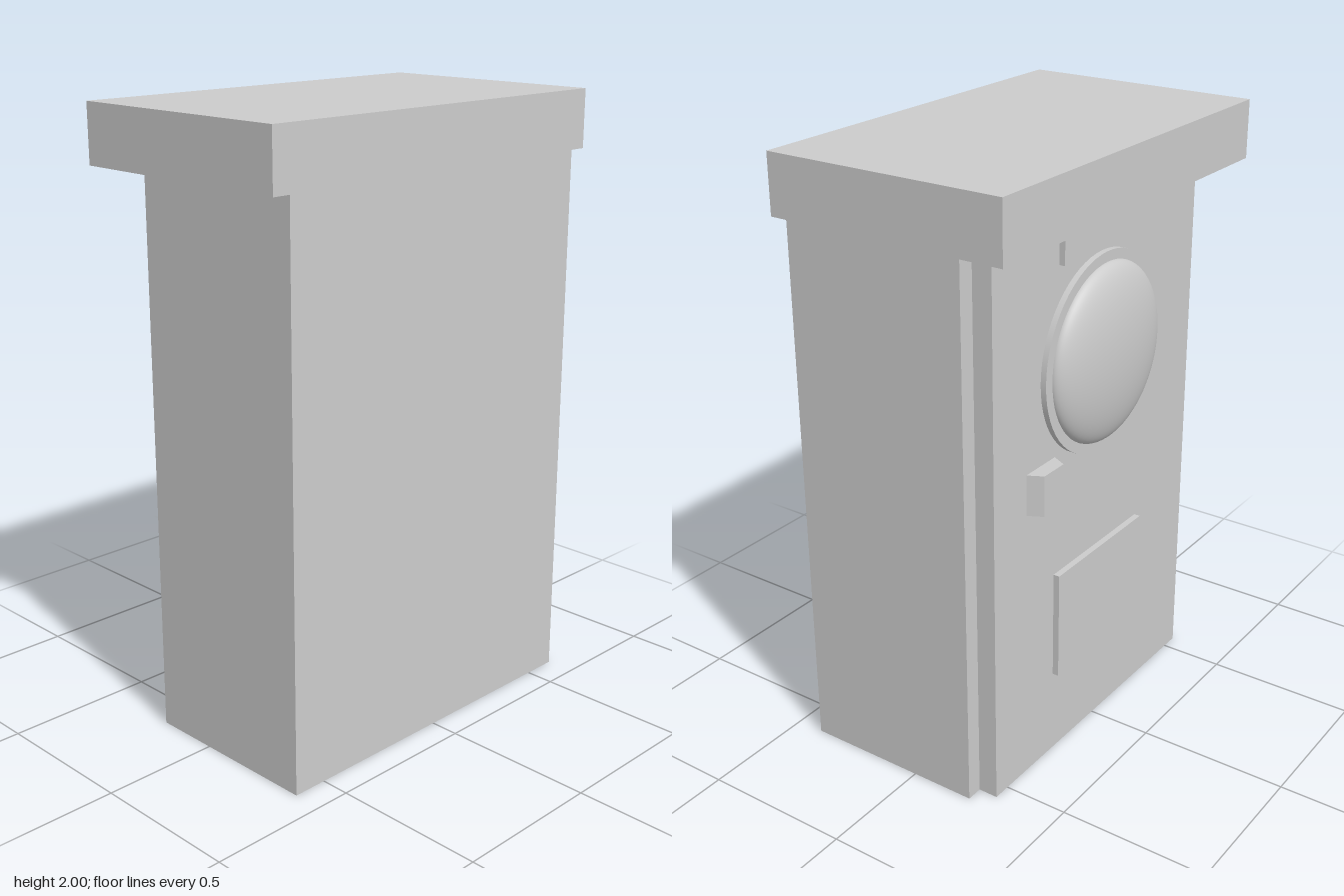
import * as THREE from 'three';

export function createModel() {
  const group = new THREE.Group();
  const material = new THREE.MeshStandardMaterial({ color: 0xcccccc });

  const add = (name, geometry) => {
    const mesh = new THREE.Mesh(geometry, material);
    mesh.name = name;
    group.add(mesh);
    return mesh;
  };
  // Box given by its half width and its y and z extents
  const slab = (name, halfX, y0, y1, z0, z1) =>
    add(name, new THREE.BoxGeometry(halfX * 2, y1 - y0, z1 - z0))
      .position.set(0, (y0 + y1) / 2, (z0 + z1) / 2);

  // Cabinet with overhanging cap and inset door at the back
  slab('body', 0.615, 0, 1.81, -0.218, 0.405);
  slab('cap', 0.675, 1.81, 2, -0.404, 0.405);
  slab('door', 0.56, 0, 1.81, -0.284, -0.218);

  // Raised plates on the door
  slab('topPlate', 0.23, 1.675, 1.81, -0.303, -0.284);
  slab('lowerPlate', 0.245, 0.29, 0.66, -0.305, -0.284);

  // Round window: flat rim disc and shallow dome
  const windowY = 1.335;
  const rim = new THREE.CylinderGeometry(0.323, 0.323, 0.02, 64).rotateX(Math.PI / 2);
  add('windowRim', rim).position.set(0, windowY, -0.293);

  const dome = new THREE.SphereGeometry(0.29, 64, 24, 0, Math.PI * 2, 0, Math.PI / 2)
    .rotateX(-Math.PI / 2)
    .scale(1, 1, 0.08 / 0.29);
  add('windowDome', dome).position.set(0, windowY, -0.301);

  // Door handle, tapering towards its outer face
  const profile = new THREE.Shape([
    new THREE.Vector2(0.245, 0.284),
    new THREE.Vector2(0.395, 0.284),
    new THREE.Vector2(0.37, 0.332),
    new THREE.Vector2(0.27, 0.332),
  ]);
  const handle = new THREE.ExtrudeGeometry(profile, { depth: 0.135, bevelEnabled: false });
  add('handle', handle.rotateX(-Math.PI / 2)).position.y = 0.935;

  return group;
}
